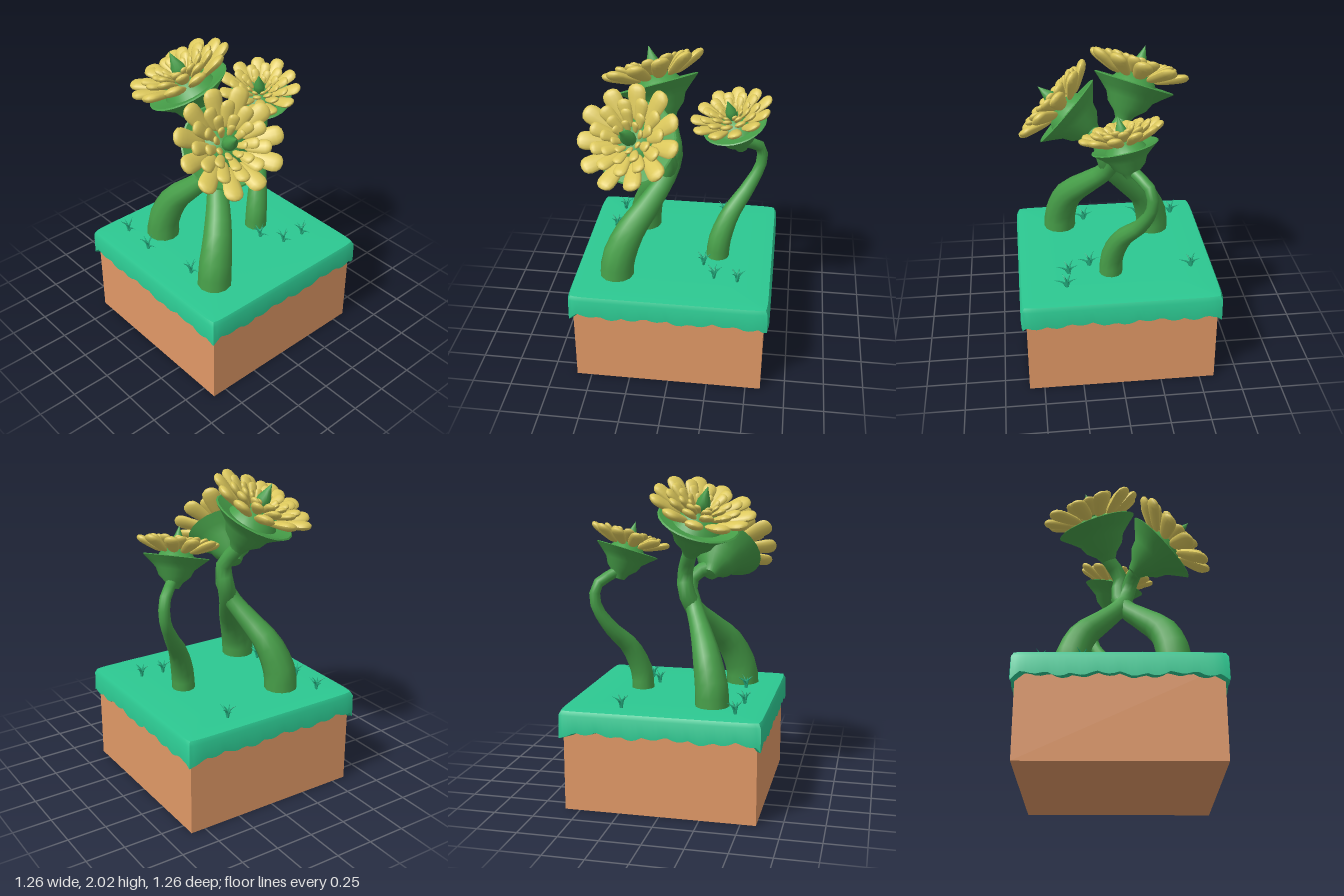
import * as THREE from 'three';
import { mergeGeometries, toCreasedNormals } from 'three/addons/utils/BufferGeometryUtils.js';

const mat = (color, side = THREE.FrontSide) => new THREE.MeshStandardMaterial({ color, side });
const soilMat = mat(0xe09866), grassMat = mat(0x2cc891), bladeMat = mat(0x25b584, THREE.DoubleSide);
const greenMat = mat(0x479f49), petalMat = mat(0xdcc85c);
const V = (a) => new THREE.Vector3(...a);

function add(parent, name, geo, material) {
  const m = new THREE.Mesh(geo, material);
  m.name = name;
  parent.add(m);
  return m;
}

// Square turf cap: concentric square rings, with a scalloped skirt at the bottom
function turfGeometry() {
  const n = 40, count = n * 4;
  const rings = [[0.001, 0.638], [0.3, 0.638], [0.56, 0.64], [0.615, 0.636], [0.628, 0.61], [0.63, null], [0.59, null]];
  const pos = [], idx = [];
  for (const [r, y] of rings) {
    for (let j = 0; j < count; j++) {
      const side = Math.floor(j / n), t = (j % n) / n * 2 - 1;
      const round = 1 - 0.018 * Math.pow(Math.abs(t), 14);
      const a = side * Math.PI / 2, c = Math.round(Math.cos(a)), s = Math.round(Math.sin(a));
      const u = r * round, v = r * t * round;
      const skirt = 0.512 - 0.022 * Math.abs(Math.sin(t * 14 + side)) - 0.008 * Math.sin(t * 9 + side * 2)
        - 0.03 * Math.pow(Math.abs(t), 20);
      pos.push(u * c - v * s, y ?? skirt, -(u * s + v * c));
    }
  }
  for (let i = 0; i < rings.length - 1; i++) {
    for (let j = 0; j < count; j++) {
      const k = (j + 1) % count, a = i * count + j, d = i * count + k;
      idx.push(a, a + count, d + count, a, d + count, d);
    }
  }
  const g = new THREE.BufferGeometry();
  g.setAttribute('position', new THREE.Float32BufferAttribute(pos, 3));
  g.setIndex(idx);
  return toCreasedNormals(g, 0.7);
}

// Tube whose rings are scaled to follow a list of radii
function taperedTube(points, radii, segs, sides) {
  const curve = new THREE.CatmullRomCurve3(points.map(V));
  const g = new THREE.TubeGeometry(curve, segs, 1, sides, false);
  const p = g.attributes.position, v = new THREE.Vector3();
  for (let i = 0; i <= segs; i++) {
    const c = curve.getPointAt(i / segs), f = i / segs * (radii.length - 1);
    const k = Math.min(Math.floor(f), radii.length - 2);
    const r = THREE.MathUtils.lerp(radii[k], radii[k + 1], f - k);
    for (let j = 0; j <= sides; j++) {
      const q = i * (sides + 1) + j;
      v.fromBufferAttribute(p, q).sub(c).multiplyScalar(r).add(c);
      p.setXYZ(q, v.x, v.y, v.z);
    }
  }
  return g;
}

// Plump petal growing along +y from the origin, blunt at the tip and narrow at the root
function petalGeometry(length, width, thick) {
  const g = new THREE.SphereGeometry(1, 12, 10), p = g.attributes.position;
  for (let i = 0; i < p.count; i++) {
    const x = p.getX(i), y = p.getY(i), z = p.getZ(i), s = Math.hypot(x, z);
    const k = s < 1e-4 ? 0 : Math.sqrt(Math.max(0, 1 - y ** 4)) * (0.78 + 0.22 * y) / s;
    p.setXYZ(i, x * k * width / 2, (y + 1) * length / 2, z * k * thick / 2);
  }
  g.computeVertexNormals();
  return g;
}

// Petal rings: count, root radius, root height, length, width, thickness, elevation
const petalRings = [
  [11, 0.125, 0.035, 0.225, 0.135, 0.065, 0.44],
  [11, 0.10, 0.06, 0.165, 0.10, 0.05, 0.6],
  [9, 0.075, 0.075, 0.12, 0.078, 0.04, 0.75],
  [8, 0.05, 0.075, 0.085, 0.055, 0.03, 0.95],
];

function flowerHead(turn) {
  const head = new THREE.Group();
  const profile = (pts) => pts.map(([x, y]) => new THREE.Vector2(x, y));
  const cup = new THREE.LatheGeometry(profile([[0, -0.25], [0.045, -0.245], [0.07, -0.2], [0.125, -0.15],
    [0.15, -0.095], [0.2, -0.05], [0.26, 0.0], [0.25, 0.006], [0.16, -0.02], [0.11, 0.05], [0, 0.075]]), 24);
  add(head, 'flowerCup', toCreasedNormals(cup, 0.8), greenMat);
  const bud = new THREE.LatheGeometry(profile([[0.03, 0.04], [0.045, 0.1], [0.042, 0.14], [0.02, 0.19], [0, 0.24]]), 10);
  add(head, 'centreBud', bud, greenMat);
  petalRings.forEach(([n, r, h, len, w, th, elev], ring) => {
    const parts = [];
    for (let i = 0; i < n; i++) {
      const g = petalGeometry(len * (1 + 0.04 * Math.sin(i * 2.3 + ring)), w, th);
      g.rotateX(Math.PI / 2 - elev).translate(0, h, r);
      parts.push(g.rotateY((i + ring * 0.5) / n * Math.PI * 2 + turn));
    }
    add(head, 'petalRing' + (ring + 1), mergeGeometries(parts), petalMat);
  });
  return head;
}

// Each flower: rim centre, facing direction, head scale, stem path and stem radii
const flowers = [
  { name: 'leaningLeftFlower', at: [-0.15, 1.755, 0.15], face: [-0.33, 0.9, 0.3], scale: 1, turn: 0.2,
    path: [[0.33, 0.62, 0.36], [0.325, 0.74, 0.35], [0.27, 0.92, 0.28], [0.16, 1.05, 0.18], [0.03, 1.19, 0.08],
      [-0.005, 1.31, 0.035], [0.01, 1.42, 0.03], [-0.08, 1.555, 0.08]],
    radii: [0.108, 0.104, 0.092, 0.078, 0.064, 0.056, 0.05, 0.046] },
  { name: 'leaningRightFlower', at: [0.27, 1.55, 0.23], face: [0.72, 0.62, 0.24], scale: 1, turn: 0.5,
    path: [[-0.3, 0.62, 0.27], [-0.295, 0.74, 0.265], [-0.23, 0.92, 0.22], [-0.11, 1.05, 0.16], [0.01, 1.19, 0.09],
      [0.055, 1.32, 0.05], [0.08, 1.4, 0.08], [0.13, 1.44, 0.175]],
    radii: [0.108, 0.104, 0.092, 0.076, 0.062, 0.054, 0.048, 0.046] },
  { name: 'backFlower', at: [-0.035, 1.555, -0.34], face: [0.2, 0.94, 0.25], scale: 0.78, turn: 0,
    path: [[0.04, 0.62, -0.26], [0.035, 0.75, -0.27], [-0.02, 0.92, -0.33], [-0.12, 1.06, -0.43], [-0.18, 1.22, -0.51],
      [-0.17, 1.34, -0.505], [-0.08, 1.42, -0.4]],
    radii: [0.075, 0.072, 0.06, 0.048, 0.036, 0.035, 0.034] },
];

// Tuft of curved, pointed blades: heading, reach, height
function tuftGeometry() {
  const blades = [[0, 0.08, 0.06], [0.9, 0.045, 0.08], [2.2, 0.05, 0.085], [3.3, 0.06, 0.07], [4.3, 0.055, 0.08], [5.2, 0.03, 0.09]];
  return mergeGeometries(blades.map(([a, reach, h]) => {
    const c = Math.cos(a), s = Math.sin(a);
    return taperedTube([[0, 0, 0], [c * reach * 0.3, h * 0.7, s * reach * 0.3], [c * reach, h, s * reach]],
      [0.008, 0.007, 0.0005], 5, 4);
  }));
}

export function createModel() {
  const model = new THREE.Group();
  model.name = 'flowerBlock';

  // Ground
  add(model, 'soilBlock', new THREE.BoxGeometry(1.19, 0.56, 1.19), soilMat).position.y = 0.28;
  add(model, 'turfCap', turfGeometry(), grassMat);

  // Flowers
  for (const f of flowers) {
    const flower = new THREE.Group();
    flower.name = f.name;
    add(flower, 'stem', taperedTube(f.path, f.radii, 14, 12), greenMat);
    const head = flowerHead(f.turn);
    head.name = 'flowerHead';
    head.position.set(...f.at);
    head.quaternion.setFromUnitVectors(new THREE.Vector3(0, 1, 0), V(f.face).normalize());
    head.scale.setScalar(f.scale);
    flower.add(head);
    model.add(flower);
  }

  // Grass tufts
  const tuft = tuftGeometry();
  const spots = [[-0.48, -0.26], [0.33, -0.41], [0.31, -0.26], [0.17, -0.18], [-0.46, 0.44], [-0.22, 0.46], [0.16, 0.41]];
  for (const [x, z] of spots) add(model, 'grassTuft', tuft, bladeMat).position.set(x, 0.632, z);
  return model;
}
